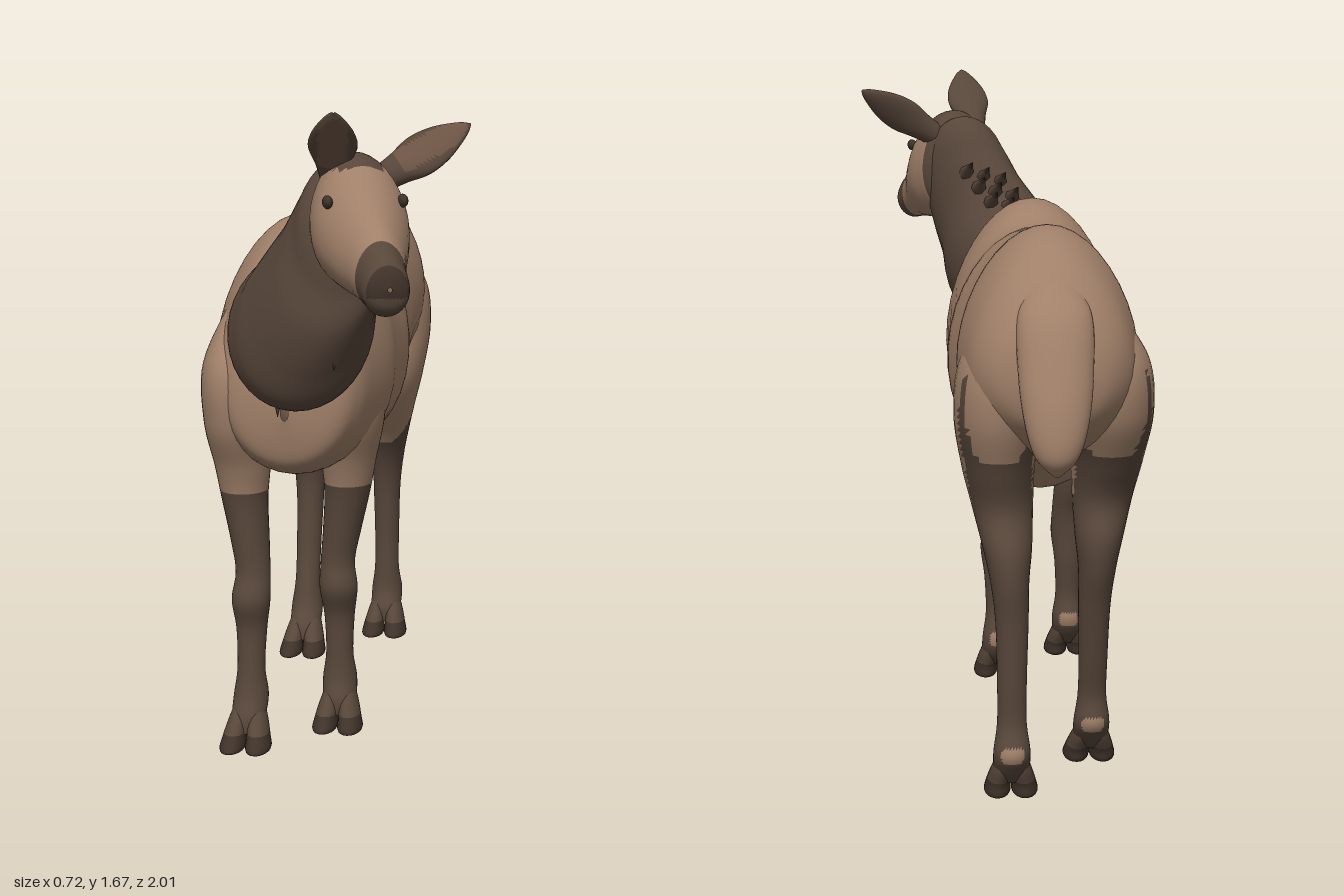
import * as THREE from 'three';

const mat = (name, color, opts = {}) => Object.assign(new THREE.MeshStandardMaterial({ color, ...opts }), { name });

// Catmull-Rom blend of one column of a section table
function blend(rows, i, t, k) {
  const at = j => rows[Math.min(Math.max(j, 0), rows.length - 1)][k] ?? 0;
  const [a, b, c, d] = [at(i - 1), at(i), at(i + 1), at(i + 2)];
  return 0.5 * (2 * b + (c - a) * t + (2 * a - 5 * b + 4 * c - d) * t * t + (3 * b - a - 3 * c + d) * t * t * t);
}

// Smooth skin through elliptical sections [cx, cy, cz, halfWidth, halfDepth, pitch, topTaper].
// rule(x, y, z) picks the material index of each face.
function loft(name, rows, materials, rule = () => 0, steps = 8, sides = 36) {
  const pos = [], lists = materials.map(() => []);
  const rings = (rows.length - 1) * steps + 1;
  for (let r = 0; r < rings; r++) {
    const i = Math.min(Math.floor(r / steps), rows.length - 2), t = r / steps - i;
    const [cx, cy, cz, a, b, p, egg] = [0, 1, 2, 3, 4, 5, 6].map(k => blend(rows, i, t, k));
    for (let s = 0; s < sides; s++) {
      const w = s / sides * Math.PI * 2, v = Math.max(b, 0.001) * Math.sin(w);
      const u = Math.max(a, 0.001) * Math.cos(w) * (1 - egg * Math.sin(w));
      pos.push(cx + u, cy + v * Math.cos(p), cz + v * Math.sin(p));
    }
  }
  const face = (...f) => {
    const c = [0, 1, 2].map(k => (pos[f[0] * 3 + k] + pos[f[1] * 3 + k] + pos[f[2] * 3 + k]) / 3);
    lists[rule(...c)].push(...f);
  };
  for (let r = 0; r < rings - 1; r++) for (let s = 0; s < sides; s++) {
    const n = (s + 1) % sides, a = r * sides + s, b = r * sides + n;
    face(a, b, b + sides);
    face(a, b + sides, a + sides);
  }
  const g = new THREE.BufferGeometry();
  g.setAttribute('position', new THREE.Float32BufferAttribute(pos, 3));
  g.setIndex(lists.flat());
  let start = 0;
  lists.forEach((l, m) => { g.addGroup(start, l.length, m); start += l.length; });
  g.computeVertexNormals();
  const mesh = new THREE.Mesh(g, materials);
  mesh.name = name;
  return mesh;
}

export function createModel() {
  const model = new THREE.Group();
  model.name = 'youngDeer';
  const coat = mat('tanCoat', 0xa08069), dark = mat('darkBrownCoat', 0x57463a);
  const black = mat('hoofAndNose', 0x3f3229), inner = mat('innerEar', 0x6c5444);
  const H = Math.PI / 2;

  // Trunk: [z, top, bottom, halfWidth, taper]
  const trunk = [
    [-0.9, 1.07, 1.05, 0.01, 0], [-0.885, 1.14, 0.99, 0.08, 0], [-0.86, 1.21, 0.94, 0.14, 0.05],
    [-0.8, 1.29, 0.89, 0.185, 0.1], [-0.72, 1.355, 0.85, 0.205, 0.14], [-0.6, 1.39, 0.82, 0.218, 0.16],
    [-0.45, 1.37, 0.77, 0.212, 0.12], [-0.3, 1.35, 0.67, 0.208, 0.1], [-0.15, 1.33, 0.68, 0.233, 0.08],
    [-0.02, 1.315, 0.69, 0.233, 0.1], [0.1, 1.36, 0.69, 0.23, 0.14], [0.2, 1.36, 0.7, 0.23, 0.16],
    [0.33, 1.305, 0.71, 0.205, 0.14], [0.42, 1.2, 0.735, 0.18, 0.08], [0.475, 1.06, 0.77, 0.13, 0],
    [0.5, 0.92, 0.88, 0.01, 0],
  ].map(([z, t, b, w, e]) => [-0.117, (t + b) / 2, z, w, (t - b) / 2, 0, e]);
  model.add(loft('trunk', trunk, [coat]));

  // Neck sweeping up and turning to the side
  model.add(loft('neck', [
    [-0.1, 1.09, 0.35, 0.01, 0.01, -0.47], [-0.1, 1.1, 0.405, 0.165, 0.19, -0.47],
    [-0.065, 1.125, 0.51, 0.175, 0.215, -0.43], [-0.03, 1.2, 0.567, 0.155, 0.205, -0.49],
    [0.015, 1.29, 0.61, 0.138, 0.188, -0.56], [0.045, 1.37, 0.63, 0.122, 0.17, -0.49],
    [0.06, 1.415, 0.66, 0.1, 0.14, -0.39], [0.065, 1.42, 0.7, 0.01, 0.01, -0.39],
  ], [dark]));

  // Shaggy tufts: throat fringe, nape and withers
  const tuft = (name, m, x, y, z, len, dir) => {
    const c = new THREE.Mesh(new THREE.ConeGeometry(0.022, len, 7), m);
    c.name = name;
    c.position.set(x, y, z);
    c.quaternion.setFromUnitVectors(new THREE.Vector3(0, 1, 0), new THREE.Vector3(...dir).normalize());
    model.add(c);
  };
  for (let i = 0; i < 9; i++) {
    const t = i / 8, k = (i % 3 - 1) * 0.035;
    tuft('throatTuft', dark, -0.09 + 0.09 * t + k, 0.94 + 0.14 * t, 0.54 + 0.12 * t, 0.09, [0, -1, 0.25]);
    tuft('napeTuft', dark, -0.08 + 0.09 * t + k, 1.315 + 0.1 * t, 0.37 + 0.1 * t, 0.09, [-0.2, 0.5, -1]);
  }

  // Head, turned toward its left: [s, top, bottom, halfWidth]
  const head = new THREE.Group();
  head.name = 'head';
  head.position.set(0.07, 0, 0.62);
  head.rotation.y = 0.36;
  const skull = [
    [-0.04, 1.47, 1.4, 0.02], [0, 1.55, 1.28, 0.095], [0.06, 1.56, 1.245, 0.113], [0.12, 1.535, 1.24, 0.113],
    [0.19, 1.475, 1.235, 0.095], [0.26, 1.42, 1.23, 0.072], [0.33, 1.37, 1.22, 0.058],
    [0.37, 1.345, 1.215, 0.054], [0.395, 1.32, 1.235, 0.042], [0.405, 1.285, 1.275, 0.005],
  ].map(([s, t, b, w]) => [0, (t + b) / 2, s, w, (t - b) / 2, 0, 0.08]);
  head.add(loft('skull', skull, [coat, dark, black], (x, y, z) =>
    z > 0.385 && y > 1.26 ? 2 : z > 0.315 || z < 0.02 || (y > 1.525 && z < 0.12) ? 1 : 0));
  for (const side of [-1, 1]) {
    const eye = new THREE.Mesh(new THREE.SphereGeometry(0.02, 16, 12), black);
    eye.name = 'eye';
    eye.scale.set(0.6, 0.8, 1.1);
    eye.position.set(side * 0.09, 1.455, 0.15);
    head.add(eye);
  }
  model.add(head);

  // Leaf-shaped ears, given base, tip and facing direction
  const ear = (name, base, tip, facing) => {
    const b = new THREE.Vector3(...base), y = new THREE.Vector3(...tip).sub(b), L = y.length();
    y.normalize();
    const x = y.clone().cross(new THREE.Vector3(...facing)).normalize();
    const m = loft(name, [
      [0, L, 0, 0.002, 0.002, H], [0, L * 0.9, 0, 0.022, 0.01, H], [0, L * 0.65, 0, 0.05, 0.016, H],
      [0, L * 0.4, 0, 0.058, 0.022, H], [0, L * 0.15, 0, 0.042, 0.03, H], [0, -0.03, 0, 0.03, 0.03, H],
    ], [dark, inner], (px, py, pz) => pz > 0.006 && Math.abs(px) < 0.035 && py > L * 0.2 ? 1 : 0, 6, 24);
    m.quaternion.setFromRotationMatrix(new THREE.Matrix4().makeBasis(x, y, x.clone().cross(y)));
    m.position.copy(b);
    model.add(m);
  };
  ear('leftEar', [0.15, 1.5, 0.62], [0.35, 1.625, 0.58], [-0.2, 0.5, 0.85]);
  ear('rightEar', [0.03, 1.52, 0.66], [0.06, 1.665, 0.84], [0.1, -0.6, 0.8]);

  // Drooping tail
  model.add(loft('tail', [
    [-0.12, 1.3, -0.75, 0.03, 0.03, H], [-0.12, 1.22, -0.83, 0.085, 0.06, H], [-0.12, 1.09, -0.895, 0.088, 0.065, H],
    [-0.12, 0.98, -0.94, 0.075, 0.058, H], [-0.12, 0.9, -0.957, 0.05, 0.045, H], [-0.12, 0.855, -0.96, 0.005, 0.005, H],
  ], [coat]));

  // Legs, top to bottom: [x, y, z, halfWidth, halfDepth]
  const front = [
    [0.02, 1.15, 0.18, 0.01, 0.02], [0.015, 1.0, 0.2, 0.08, 0.13], [0.01, 0.85, 0.2, 0.085, 0.135],
    [0, 0.73, 0.19, 0.072, 0.095], [-0.005, 0.64, 0.185, 0.06, 0.074], [-0.02, 0.53, 0.183, 0.05, 0.06],
    [-0.03, 0.45, 0.19, 0.045, 0.047], [-0.027, 0.38, 0.197, 0.05, 0.052], [-0.027, 0.3, 0.18, 0.04, 0.04],
    [-0.027, 0.2, 0.178, 0.036, 0.037], [-0.027, 0.13, 0.172, 0.045, 0.05], [-0.025, 0.08, 0.19, 0.044, 0.05],
    [-0.025, 0.04, 0.21, 0.035, 0.03],
  ];
  const rear = [
    [0, 1.2, -0.68, 0.02, 0.04], [0, 1.08, -0.69, 0.098, 0.14], [0.008, 0.95, -0.68, 0.105, 0.16],
    [0.005, 0.82, -0.65, 0.09, 0.145], [-0.005, 0.72, -0.665, 0.075, 0.105], [-0.015, 0.63, -0.725, 0.06, 0.088],
    [-0.02, 0.55, -0.755, 0.047, 0.068], [-0.025, 0.45, -0.765, 0.04, 0.048], [-0.025, 0.3, -0.768, 0.036, 0.038],
    [-0.025, 0.2, -0.766, 0.036, 0.037], [-0.025, 0.13, -0.775, 0.045, 0.052], [-0.025, 0.08, -0.75, 0.044, 0.05],
    [-0.025, 0.04, -0.73, 0.035, 0.03],
  ];
  // Tan above, dark below, with a pale spot behind each pastern
  const spot = (y, z, zHeel) => y > 0.11 && y < 0.15 && z < zHeel;
  const frontRule = (x, y, z) => y > 0.665 || spot(y, z, 0.132) ? 0 : 1;
  const rearRule = (x, y, z) => {
    if (spot(y, z, -0.815)) return 0;
    const patch = y < 1.06 && z < -0.66 - (y - 0.6) * 0.25 && (y < 0.85 || z > -0.785);
    return y < 0.6 || patch ? 1 : 0;
  };
  const leg = (name, rows, rule, right, shift) => {
    const place = ([x, y, z, ...w]) => [right ? -0.26 - x : x, y, z + shift(y), ...w, H];
    model.add(loft(name, rows.map(place), [coat, dark], (x, y, z) => rule(x, y, z - shift(y))));
    // Cloven hoof: two toes
    const [x0, , z0] = rows[rows.length - 1];
    for (const k of [-1, 1]) model.add(loft(name + 'Toe', [
      [x0 + k * 0.02, 0.12, z0 - 0.035, 0.012, 0.02], [x0 + k * 0.024, 0.08, z0 - 0.015, 0.024, 0.045],
      [x0 + k * 0.031, 0.035, z0 + 0.012, 0.03, 0.056], [x0 + k * 0.034, 0.004, z0 + 0.025, 0.031, 0.064],
      [x0 + k * 0.034, 0, z0 + 0.025, 0.002, 0.002],
    ].map(place), [dark, black], (x, y) => y < 0.045 ? 1 : 0, 5, 20));
  };
  const frontShift = y => Math.max(0.12, 0.2 - 0.12 * y), rearShift = y => 0.25 - 0.22 * Math.min(y, 1);
  leg('frontLeftLeg', front, frontRule, false, () => 0);
  leg('frontRightLeg', front, frontRule, true, frontShift);
  leg('rearLeftLeg', rear, rearRule, false, () => 0);
  leg('rearRightLeg', rear, rearRule, true, rearShift);

  return model;
}
